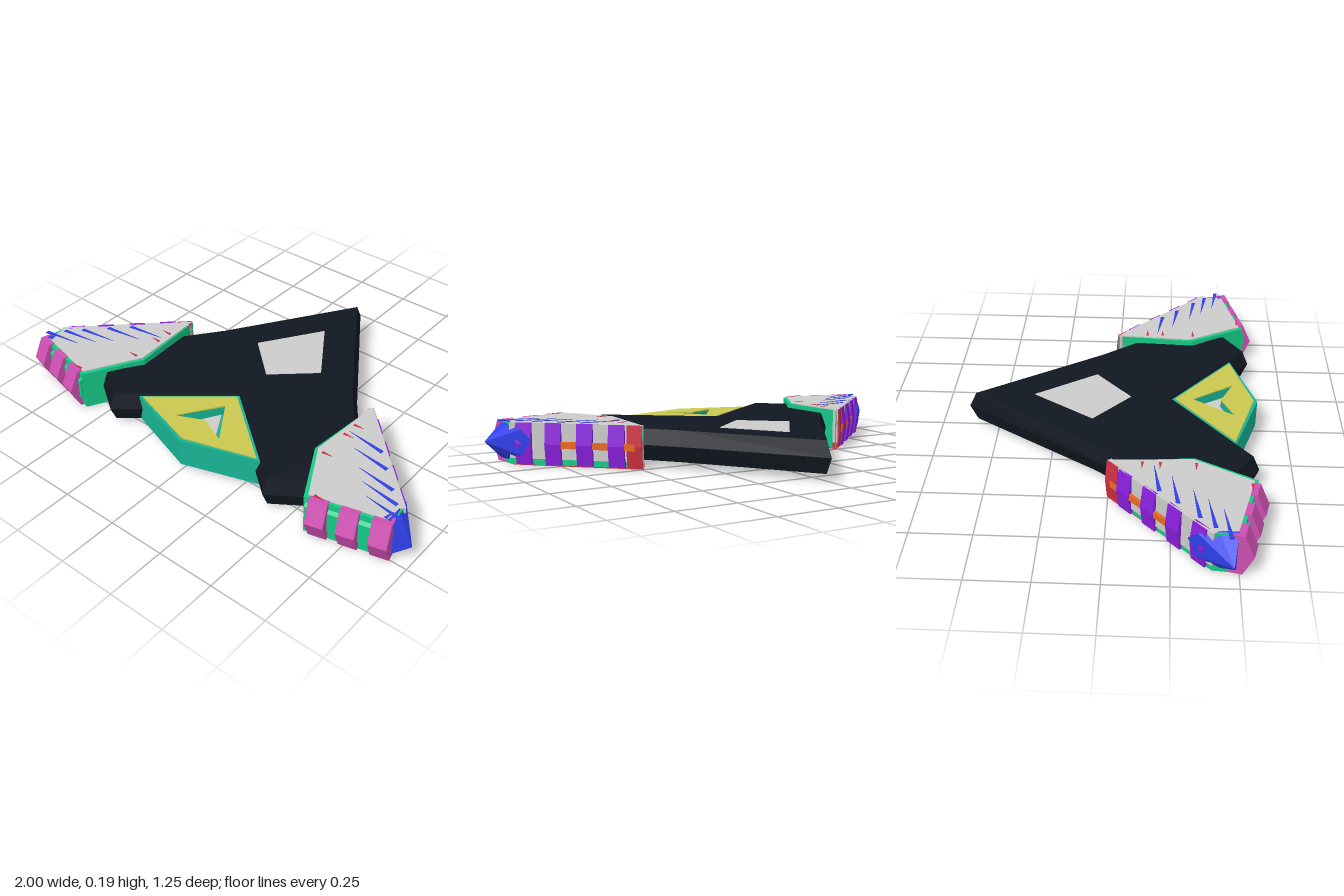
import * as THREE from 'three';
import { ConvexGeometry } from 'three/addons/geometries/ConvexGeometry.js';

const C = {
  dark: 0x111720, grey: 0xcccccc, teal: 0x17b394, yellow: 0xc9c850, green: 0x15c985,
  magenta: 0xcc4fb0, purple: 0x8a20dd, blue: 0x2f3fe8, red: 0xcc3040, orange: 0xe86a20,
};

const mats = {};
for (const k in C) mats[k] = new THREE.MeshStandardMaterial({ color: C[k], flatShading: true });

function mesh(name, geometry, color) {
  const m = new THREE.Mesh(geometry, mats[color]);
  m.name = name;
  return m;
}

const shapeOf = pts => new THREE.Shape(pts.map(([x, z]) => new THREE.Vector2(x, z)));

// Mirrors a half outline that begins and ends on the centre line
const mirrored = half => [
  ...half,
  ...half.slice(1, -1).reverse().map(([x, z]) => [-x, z]),
];

// Flat slab with an x-z outline, from y0 up to y1; a bevel makes a pointed edge
function slab(name, pts, y0, y1, color, { hole, bevel = 0 } = {}) {
  const shape = shapeOf(pts);
  if (hole) shape.holes.push(new THREE.Path(hole.map(([x, z]) => new THREE.Vector2(x, z))));
  const h = y1 - y0;
  const g = new THREE.ExtrudeGeometry(shape, bevel
    ? { depth: 0.002, bevelEnabled: true, bevelSegments: 1, bevelThickness: (h - 0.002) / 2, bevelSize: bevel, bevelOffset: -bevel }
    : { depth: h, bevelEnabled: false });
  g.rotateX(Math.PI / 2);
  g.computeBoundingBox();
  g.translate(0, y1 - g.boundingBox.max.y, 0);
  return mesh(name, g, color);
}

// Profile of (outward, y) points swept from p0 to p1; outward is to the right-hand side
function rail(name, p0, p1, s, profile, color) {
  let a = new THREE.Vector3(s * p0[0], 0, p0[1]);
  let b = new THREE.Vector3(s * p1[0], 0, p1[1]);
  if (s < 0) [a, b] = [b, a];
  const along = b.clone().sub(a);
  const length = along.length();
  along.normalize();
  const up = new THREE.Vector3(0, 1, 0);
  const out = up.clone().cross(along);
  const g = new THREE.ExtrudeGeometry(shapeOf(profile), { depth: length, bevelEnabled: false });
  g.applyMatrix4(new THREE.Matrix4().makeBasis(out, up, along).setPosition(a));
  return mesh(name, g, color);
}

const lerp = (p, q, t) => [p[0] + (q[0] - p[0]) * t, p[1] + (q[1] - p[1]) * t];
const chevron = (back, edge, peak, y0 = 0.006, y1 = 0.182) =>
  [[back, y0], [edge, y0], [peak, (y0 + y1) / 2], [edge, y1], [back, y1]];

function createWing(s) {
  const wing = new THREE.Group();
  wing.name = s > 0 ? 'leftWing' : 'rightWing';
  const flip = pts => pts.map(([x, z]) => [s * x, z]);

  // Core with top and bottom plates
  const outline = [[0.49, 0], [0.46, 0.34], [0.59, 0.58], [0.92, 0.5], [0.91, 0.4]];
  const plate = [[0.492, 0], [0.472, 0.335], [0.6, 0.565], [0.9, 0.49], [0.9, 0.4]];
  wing.add(slab('wingCore', flip(outline), 0.004, 0.178, 'green'));
  wing.add(slab('wingTopPlate', flip(plate), 0.177, 0.183, 'grey'));
  wing.add(slab('wingBottomPlate', flip(plate), 0, 0.006, 'red'));

  // Thin coloured streaks on the top plate
  for (const z of [0.2, 0.27, 0.35, 0.405, 0.46]) {
    const x = 0.5 + z - 0.05;
    wing.add(slab('blueStreak', flip([[x - 0.14, z - 0.02], [x + 0.03, z - 0.005], [x + 0.03, z + 0.012]]), 0.18, 0.185, 'blue'));
  }
  for (const [x, z] of [[0.5, 0.13], [0.5, 0.2], [0.5, 0.34], [0.62, 0.55]])
    wing.add(slab('redStreak', flip([[x, z], [x + 0.045, z + 0.004], [x, z + 0.012]]), 0.18, 0.185, 'red'));

  // Outer edge: grey wall, purple ribs, orange bar and red nose
  const front = [0.49, -0.005], back = [0.92, 0.405];
  const at = z => lerp(front, back, (z - front[1]) / (back[1] - front[1]));
  wing.add(rail('outerWall', at(0), at(0.4), s, [[-0.02, 0.03], [0.003, 0.03], [0.003, 0.182], [-0.02, 0.182]], 'grey'));
  for (const z of [0.075, 0.17, 0.265, 0.355])
    wing.add(rail('outerRib', at(z - 0.024), at(z + 0.024), s, chevron(-0.03, 0.008, 0.02), 'purple'));
  wing.add(rail('outerBar', at(0.02), at(0.25), s, [[-0.01, 0.078], [0.016, 0.078], [0.016, 0.106], [-0.01, 0.106]], 'orange'));
  wing.add(rail('wingNose', at(0), at(0.045), s, chevron(-0.02, 0.004, 0.014), 'red'));

  // Pointed wing tip
  const tip = [
    [1, 0.095, 0.475], [0.91, 0.183, 0.49], [0.91, 0.008, 0.49], [0.9, 0.183, 0.42], [0.9, 0.01, 0.42],
    [0.885, 0.155, 0.345], [0.885, 0.045, 0.345], [0.855, 0.11, 0.31], [0.88, 0.183, 0.49], [0.88, 0.008, 0.49],
  ].map(([x, y, z]) => new THREE.Vector3(s * x, y, z));
  wing.add(mesh('wingTip', new ConvexGeometry(tip), 'blue'));

  // Rear edge: green lip and three chevron ribs
  const r0 = [0.92, 0.5], r1 = [0.59, 0.58];
  wing.add(rail('rearLip', lerp(r0, r1, 0.02), lerp(r0, r1, 0.98), s, [[-0.01, 0.03], [0.012, 0.05], [0.012, 0.14], [-0.01, 0.16]], 'green'));
  for (const t of [0.09, 0.46, 0.82])
    wing.add(rail('rearRib', lerp(r0, r1, t - 0.11), lerp(r0, r1, t + 0.11), s, chevron(-0.04, 0.012, 0.052), 'magenta'));
  return wing;
}

function createTail() {
  const tail = new THREE.Group();
  tail.name = 'tail';
  const outline = mirrored([[0, 0.25], [0.325, 0.51], [0, 0.615]]);
  const arrow = mirrored([[0, 0.34], [0.12, 0.515], [0, 0.46]]);
  const inner = mirrored([[0, 0.365], [0.075, 0.488], [0, 0.455]]);
  // Wedge with an arrow-shaped recess
  tail.add(slab('tailBase', outline, 0.03, 0.11, 'teal'));
  tail.add(slab('tailRim', outline, 0.11, 0.152, 'teal', { hole: arrow }));
  tail.add(slab('tailPanel', mirrored([[0, 0.265], [0.305, 0.508], [0, 0.6]]), 0.15, 0.157, 'yellow', { hole: arrow }));
  tail.add(slab('arrowInset', inner, 0.108, 0.125, 'grey'));
  return tail;
}

export function createModel() {
  const model = new THREE.Group();
  model.name = 'arrowCraft';

  // Arrowhead hull with pointed edges
  const hull = mirrored([[0, -0.625], [0.37, -0.075], [0.49, 0.08], [0.475, 0.34], [0.575, 0.49], [0.41, 0.6], [0, 0.27]]);
  model.add(slab('hull', hull, 0.028, 0.16, 'dark', { bevel: 0.022 }));
  model.add(slab('canopyPanel', mirrored([[0, -0.34], [0.175, -0.08], [0, 0.075]]), 0.155, 0.162, 'grey'));

  model.add(createTail());
  for (const s of [1, -1]) model.add(createWing(s));
  return model;
}
